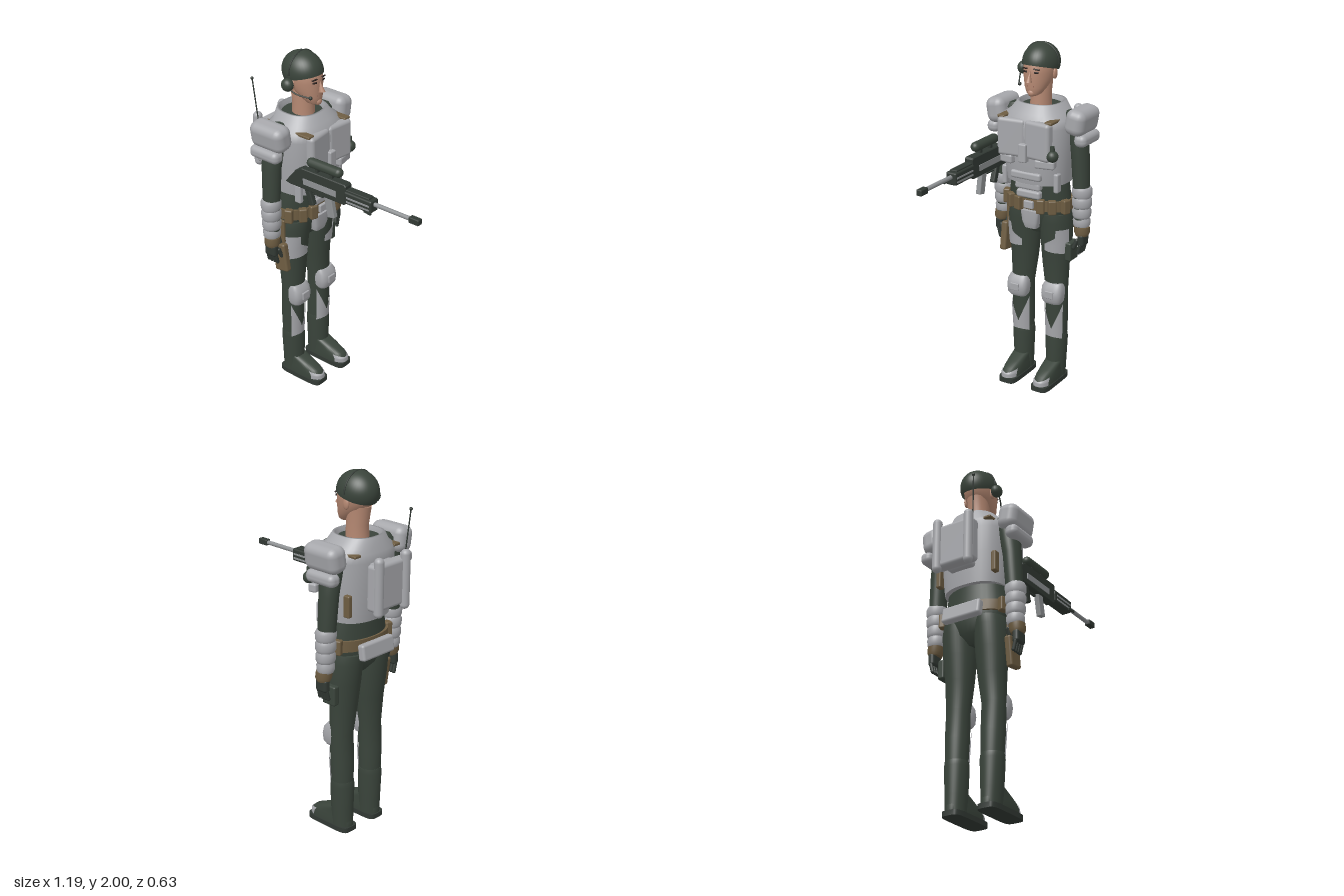
import * as THREE from 'three';
import { RoundedBoxGeometry } from 'three/addons/geometries/RoundedBoxGeometry.js';

const paint = (name, color, side = THREE.FrontSide) => {
  const m = new THREE.MeshStandardMaterial({ color, side });
  m.name = name;
  return m;
};

export function createModel() {
  const root = new THREE.Group();
  root.name = 'trooper';
  const armour = paint('armour grey', 0xa6a7ab, THREE.DoubleSide);
  const suit = paint('suit green', 0x3a443b, THREE.DoubleSide);
  const leather = paint('leather brown', 0x6e5d42);
  const skin = paint('skin', 0xb58872);
  const gunmetal = paint('gun dark', 0x323934);
  const steel = paint('steel', 0x8e9193);
  const ink = paint('eye dark', 0x2a211e);
  const lips = paint('lips', 0x8a574b);

  const add = (name, geo, mat, x = 0, y = 0, z = 0, rx = 0, ry = 0, rz = 0, parent = root) => {
    const m = new THREE.Mesh(geo, mat);
    m.name = name;
    m.position.set(x, y, z);
    m.rotation.set(rx, ry, rz);
    parent.add(m);
    return m;
  };
  const rbox = (w, h, d, r = 0.012) => new RoundedBoxGeometry(w, h, d, 3, Math.min(r, w / 2.01, h / 2.01, d / 2.01));
  const box = (w, h, d) => new THREE.BoxGeometry(w, h, d);
  const cyl = (r0, r1, h, n = 16) => new THREE.CylinderGeometry(r0, r1, h, n);
  const ball = (r) => new THREE.SphereGeometry(r, 20, 14);
  const both = (fn) => [1, -1].forEach(fn);
  const tube = (pts, r) => new THREE.TubeGeometry(
    new THREE.CatmullRomCurve3(pts.map((p) => new THREE.Vector3(...p))), 24, r, 8);

  const mesh = (pos, idx) => {
    const g = new THREE.BufferGeometry();
    g.setAttribute('position', new THREE.Float32BufferAttribute(pos, 3));
    g.setIndex(idx);
    g.computeVertexNormals();
    return g;
  };
  // Point on a super-ellipse ring [y, centre x, centre z, radius x, radius z]
  const onRing = ([y, cx, cz, rx, rz], t, e = 2, grow = 0) => {
    const c = Math.cos(t), s = Math.sin(t), k = 2 / e;
    return [cx + (rx + grow) * Math.sign(c) * Math.abs(c) ** k, y, cz + (rz + grow) * Math.sign(s) * Math.abs(s) ** k];
  };
  // Closed body through rings, low to high
  const loft = (rings, e = 2, topCap = true, n = 36) => {
    const pos = [], idx = [];
    const ringAt = (r) => { for (let j = 0; j < n; j++) pos.push(...onRing(r, (j / n) * Math.PI * 2, e)); };
    rings.forEach(ringAt);
    for (let i = 0; i < rings.length - 1; i++) for (let j = 0; j < n; j++) {
      const a = i * n + j, b = i * n + (j + 1) % n;
      idx.push(a, a + n, b, b, a + n, b + n);
    }
    const cap = (r, up) => {
      const base = pos.length / 3;
      ringAt(r);
      pos.push(r[1], r[0], r[2]);
      for (let j = 0; j < n; j++) {
        const a = base + j, b = base + (j + 1) % n;
        idx.push(base + n, up ? b : a, up ? a : b);
      }
    };
    cap(rings[0], false);
    if (topCap) cap(rings[rings.length - 1], true);
    return mesh(pos, idx);
  };
  const ringAtHeight = (rings, y) => {
    let i = 0;
    while (i < rings.length - 2 && y > rings[i + 1][0]) i++;
    const k = (y - rings[i][0]) / (rings[i + 1][0] - rings[i][0]);
    return rings[i].map((v, q) => v + (rings[i + 1][q] - v) * k);
  };
  // Plate lying on a loft between two angles, with shaped lower and upper edges
  const shell = (rings, s, t0, t1, lo, hi, e = 2, grow = 0.006) => {
    const pos = [], idx = [], n = 20, m = 10;
    for (let i = 0; i <= m; i++) for (let j = 0; j <= n; j++) {
      const u = s > 0 ? j / n : 1 - j / n;
      const y = lo(u) + (hi(u) - lo(u)) * (i / m);
      pos.push(...onRing(ringAtHeight(rings, y), s * (t0 + (t1 - t0) * u), e, grow));
      if (i < m && j < n) { const a = i * (n + 1) + j; idx.push(a, a + n + 1, a + 1, a + 1, a + n + 1, a + n + 2); }
    }
    return mesh(pos, idx);
  };
  const side = (rings, s) => rings.map(([y, x, z, a, b]) => [y, x, z * s, a, b]);

  // Body suit and torso armour
  add('pelvisAndWaist', loft([[0.92, -0.33, 0, 0.05, 0.06], [0.97, -0.335, 0, 0.09, 0.14], [1.04, -0.335, 0, 0.112, 0.185],
    [1.12, -0.33, 0, 0.115, 0.188], [1.2, -0.325, 0, 0.118, 0.18], [1.3, -0.32, 0, 0.125, 0.17]]), suit);
  add('torsoArmour', loft([[1.235, -0.32, 0, 0.148, 0.183], [1.3, -0.318, 0, 0.157, 0.19], [1.42, -0.317, 0, 0.168, 0.2],
    [1.56, -0.317, 0, 0.174, 0.207], [1.605, -0.32, 0, 0.168, 0.2], [1.63, -0.325, 0, 0.145, 0.165], [1.68, -0.335, 0, 0.128, 0.128],
    [1.68, -0.335, 0, 0.112, 0.115], [1.63, -0.335, 0, 0.11, 0.113]], 2.4, false), armour);
  add('suitCollar', cyl(0.11, 0.11, 0.02, 32), suit, -0.335, 1.645, 0);
  both((s) => {
    add('chestPlate', rbox(0.055, 0.215, 0.165, 0.02), armour, -0.158, 1.5, s * 0.083, 0, s * 0.12, 0);
    add('chestLowerPouch', rbox(0.05, 0.05, 0.115, 0.012), armour, -0.163, 1.375, s * 0.125, 0, -s * 0.2, 0);
    add('frontStrap', rbox(0.1, 0.016, 0.045, 0.006), leather, -0.192, 1.608, s * 0.148);
    add('backStrap', rbox(0.07, 0.016, 0.045, 0.006), leather, -0.435, 1.605, s * 0.148);
    add('sidePouch', rbox(0.04, 0.12, 0.03, 0.008), leather, -0.43, 1.34, s * 0.178);
    add('sideRib', rbox(0.045, 0.11, 0.03, 0.01), armour, -0.225, 1.255, s * 0.165);
  });
  add('chestCentreBox', rbox(0.045, 0.105, 0.048, 0.008), armour, -0.14, 1.425, 0);
  [[1.287, 0.19, -0.175], [1.222, 0.16, -0.198], [1.17, 0.15, -0.205]].forEach(([y, w, x]) =>
    add('abdomenPlate', rbox(0.045, 0.046, w, 0.014), armour, x, y, 0));
  add('grenade', ball(0.033), suit, -0.15, 1.43, -0.175);
  add('grenadeCap', cyl(0.012, 0.014, 0.035), suit, -0.15, 1.47, -0.175);

  // Belt with buckle, pouches and groin plate
  add('belt', loft([[1.075, -0.33, 0, 0.124, 0.198], [1.135, -0.33, 0, 0.124, 0.198]], 2.2), leather);
  [0.32, 0.68, 1.2, 1.9].forEach((t) => both((s) => {
    const p = onRing([1.105, -0.33, 0, 0.128, 0.202], s * t, 2.2);
    add('beltPouch', rbox(0.038, 0.082, 0.046, 0.008), leather, ...p, 0, -s * t, 0);
  }));
  add('buckle', rbox(0.02, 0.045, 0.06, 0.006), armour, -0.198, 1.107, 0);
  add('groinPlate', loft([[0.962, -0.238, 0, 0.028, 0.038], [1.0, -0.23, 0, 0.032, 0.05], [1.068, -0.222, 0, 0.026, 0.06]], 4), armour);
  add('backBeltPouch', rbox(0.045, 0.09, 0.24, 0.014), armour, -0.47, 1.075, 0, 0, 0, -0.15);

  // Backpack and aerial
  add('backpackMount', rbox(0.06, 0.24, 0.16, 0.02), armour, -0.485, 1.44, 0);
  add('backpack', rbox(0.07, 0.25, 0.25, 0.02), armour, -0.538, 1.445, 0);
  both((s) => add('backpackTank', new THREE.CapsuleGeometry(0.026, 0.27, 6, 18), armour, -0.568, 1.453, s * 0.1));
  add('aerial', tube([[-0.55, 1.57, 0.115], [-0.56, 1.7, 0.123], [-0.57, 1.82, 0.13]], 0.0035), gunmetal);
  add('aerialTip', ball(0.009), gunmetal, -0.57, 1.82, 0.13);

  // Head, face and cap
  add('neck', loft([[1.63, -0.325, 0, 0.066, 0.06], [1.72, -0.325, 0, 0.06, 0.057], [1.82, -0.335, 0, 0.068, 0.06]]), skin);
  add('head', loft([[1.725, -0.243, 0, 0.022, 0.022], [1.738, -0.252, 0, 0.042, 0.043], [1.77, -0.272, 0, 0.066, 0.062], [1.81, -0.298, 0, 0.092, 0.077],
    [1.85, -0.31, 0, 0.104, 0.085], [1.9, -0.317, 0, 0.108, 0.088], [1.95, -0.325, 0, 0.09, 0.07]]), skin);
  add('cap', new THREE.SphereGeometry(1, 40, 24, 0, Math.PI * 2, 0, Math.PI * 0.58).rotateZ(0.28).scale(0.12, 0.108, 0.1), suit, -0.325, 1.893, 0);
  add('nose', new THREE.ConeGeometry(0.018, 0.062, 10).scale(1.2, 1, 0.85), skin, -0.2, 1.834, 0, 0, 0, 0.2);
  add('chin', ball(0.022), skin, -0.224, 1.742, 0);
  add('mouth', rbox(0.008, 0.01, 0.044, 0.003), lips, -0.213, 1.781, 0);
  both((s) => {
    add('eye', rbox(0.009, 0.009, 0.026, 0.003), ink, -0.213, 1.858, s * 0.034, 0, -s * 0.25, 0);
    add('brow', rbox(0.009, 0.007, 0.036, 0.003), ink, -0.212, 1.876, s * 0.036, s * 0.1, -s * 0.25, 0);
    add('ear', ball(0.024).scale(0.8, 1.3, 0.45), skin, -0.325, 1.84, s * 0.086);
  });
  add('earphone', ball(0.036).scale(1, 1, 0.85), suit, -0.33, 1.845, 0.118);
  add('headsetBand', new THREE.TorusGeometry(0.107, 0.004, 8, 32, Math.PI).rotateY(Math.PI / 2), gunmetal, -0.33, 1.893, 0);
  add('microphoneBoom', tube([[-0.325, 1.835, 0.125], [-0.28, 1.805, 0.11], [-0.215, 1.785, 0.073]], 0.004), gunmetal);
  add('microphone', ball(0.01), gunmetal, -0.213, 1.785, 0.07);

  // Arms
  const arm = [[0.96, -0.342, 0.255, 0.036, 0.036], [1.2, -0.35, 0.248, 0.05, 0.046], [1.4, -0.352, 0.236, 0.056, 0.05],
    [1.54, -0.35, 0.215, 0.064, 0.058], [1.62, -0.345, 0.19, 0.056, 0.05], [1.64, -0.345, 0.185, 0.03, 0.03]];
  const guard = [];
  [[0.98, 1.035, 0.047], [1.035, 1.095, 0.051], [1.095, 1.155, 0.054], [1.155, 1.215, 0.055]].forEach(([a, b, r]) =>
    [[0, -0.007], [0.25, 0], [0.75, 0.001], [1, -0.006]].forEach(([k, d]) =>
      guard.push([a + (b - a) * k, -0.349, 0.254, r + d, r + d + 0.002])));
  both((s) => {
    add('arm', loft(side(arm, s)), suit);
    add('shoulderPad', rbox(0.225, 0.145, 0.118, 0.045), armour, -0.338, 1.6, s * 0.25, s * 0.16);
    add('shoulderPadRim', rbox(0.195, 0.07, 0.075, 0.03), armour, -0.348, 1.5, s * 0.277);
    add('forearmGuard', loft(side(guard, s)), armour);
    add('gloveCuff', loft(side([[0.93, -0.342, 0.262, 0.036, 0.034], [0.95, -0.342, 0.262, 0.044, 0.044], [0.985, -0.344, 0.258, 0.044, 0.045]], s)), leather);
    add('palm', rbox(0.078, 0.075, 0.04, 0.016), gunmetal, -0.342, 0.908, s * 0.268);
    for (let i = 0; i < 4; i++)
      add('finger', new THREE.CapsuleGeometry(0.0105, 0.048, 4, 10), gunmetal, -0.372 + i * 0.02, 0.855, s * 0.262, s * 0.25);
    add('thumb', new THREE.CapsuleGeometry(0.012, 0.045, 4, 10), gunmetal, -0.305, 0.885, s * 0.24, s * 0.35, 0, 0.15);
  });

  // Legs, pads and boots
  const leg = [[0.26, -0.342, 0.11, 0.058, 0.059], [0.42, -0.338, 0.111, 0.064, 0.065], [0.58, -0.332, 0.111, 0.061, 0.066],
    [0.74, -0.336, 0.102, 0.074, 0.079], [0.88, -0.338, 0.102, 0.089, 0.091], [1.0, -0.337, 0.1, 0.105, 0.094], [1.05, -0.337, 0.095, 0.105, 0.09]];
  const foot = [[0.028, -0.265, 0.108, 0.14, 0.053], [0.055, -0.266, 0.108, 0.139, 0.054], [0.08, -0.275, 0.108, 0.125, 0.051],
    [0.105, -0.3, 0.108, 0.095, 0.05], [0.13, -0.333, 0.108, 0.062, 0.05]];
  both((s) => {
    add('leg', loft(side(leg, s)), suit);
    add('thighPlate', shell(side(leg, s), s, -0.3, 1.3, (u) => 0.83 - 0.015 * u,
      (u) => (u < 0.45 ? 0.87 + 0.1 * u : 0.965)), armour);
    add('kneePad', loft(side([[0.505, -0.29, 0.114, 0.036, 0.05], [0.525, -0.285, 0.114, 0.046, 0.062], [0.565, -0.284, 0.114, 0.05, 0.066],
      [0.605, -0.288, 0.114, 0.045, 0.064], [0.63, -0.296, 0.114, 0.032, 0.054]], s), 3), armour);
    add('kneeCap', rbox(0.012, 0.045, 0.055, 0.005), armour, -0.236, 0.568, s * 0.114);
    add('shinPlate', shell(side(leg, s), s, -1, 1, () => 0.262, (u) => 0.34 + 0.16 * Math.abs(2 * u - 1)), armour);
    add('bootShaft', loft(side([[0.03, -0.34, 0.108, 0.064, 0.054], [0.12, -0.34, 0.109, 0.064, 0.058], [0.27, -0.34, 0.11, 0.067, 0.065],
      [0.3, -0.34, 0.11, 0.062, 0.062]], s)), suit);
    add('foot', loft(side(foot, s), 2.6), suit);
    add('toeCap', shell(side(foot, s), s, -0.95, 0.95, () => 0.031, (u) => 0.06 + 0.016 * Math.abs(2 * u - 1), 2.6, 0.004), armour);
    add('sole', loft(side([[0, -0.265, 0.108, 0.146, 0.057], [0.028, -0.265, 0.108, 0.146, 0.057]], s), 5), gunmetal);
  });

  // Thigh holster and pouch
  add('holster', rbox(0.09, 0.17, 0.04, 0.012), leather, -0.318, 0.845, 0.215, 0, 0, 0.14);
  add('holsterStrap', rbox(0.045, 0.14, 0.016, 0.006), leather, -0.325, 1.0, 0.2);
  add('pistolGrip', rbox(0.045, 0.06, 0.026, 0.008), gunmetal, -0.345, 0.945, 0.216, 0, 0, 0.3);
  add('thighPouch', rbox(0.09, 0.11, 0.04, 0.01), suit, -0.335, 0.83, -0.2);

  // Rifle
  const gun = new THREE.Group();
  gun.name = 'rifle';
  gun.position.z = 0.178;
  root.add(gun);
  const part = (name, geo, mat, x, y, z = 0, rx = 0, ry = 0, rz = 0) => add(name, geo, mat, x, y, z, rx, ry, rz, gun);
  const body = new THREE.Shape([[-0.28, 1.33], [-0.21, 1.415], [-0.17, 1.437], [0.12, 1.437], [0.127, 1.43], [0.127, 1.335], [0.115, 1.325], [-0.26, 1.325]]
    .map((p) => new THREE.Vector2(...p)));
  part('receiver', new THREE.ExtrudeGeometry(body, { depth: 0.044, bevelSize: 0.004, bevelThickness: 0.004, bevelSegments: 1 }), gunmetal, 0, 0, -0.022);
  both((s) => {
    part('receiverPanel', box(0.225, 0.034, 0.006), steel, -0.045, 1.37, s * 0.027);
    [1.378, 1.354].forEach((y) => part('handguardSlot', box(0.15, 0.01, 0.004), steel, 0.215, y, s * 0.033));
  });
  part('handguard', rbox(0.18, 0.07, 0.065, 0.01), gunmetal, 0.212, 1.372);
  part('handguardRail', rbox(0.16, 0.016, 0.045, 0.005), gunmetal, 0.2, 1.408);
  part('bipodStub', box(0.05, 0.012, 0.01), gunmetal, 0.285, 1.345, 0.038, 0, -0.15, 0);
  part('barrel', cyl(0.012, 0.012, 0.25), steel, 0.42, 1.382, 0, 0, 0, Math.PI / 2);
  part('muzzle', rbox(0.063, 0.034, 0.034, 0.006), gunmetal, 0.56, 1.382);
  part('scope', new THREE.CapsuleGeometry(0.027, 0.18, 6, 18), suit, -0.028, 1.484, 0, 0, 0, Math.PI / 2);
  [-0.08, 0.02].forEach((x) => part('scopeMount', box(0.018, 0.04, 0.02), gunmetal, x, 1.45));
  part('grip', rbox(0.036, 0.1, 0.032, 0.008), gunmetal, -0.13, 1.277, 0, 0, 0, 0.33);
  part('triggerGuard', box(0.07, 0.006, 0.014), gunmetal, -0.075, 1.303);
  part('magazine', rbox(0.048, 0.13, 0.03, 0.005), steel, 0.008, 1.267, 0, 0, 0, 0.2);

  return root;
}
